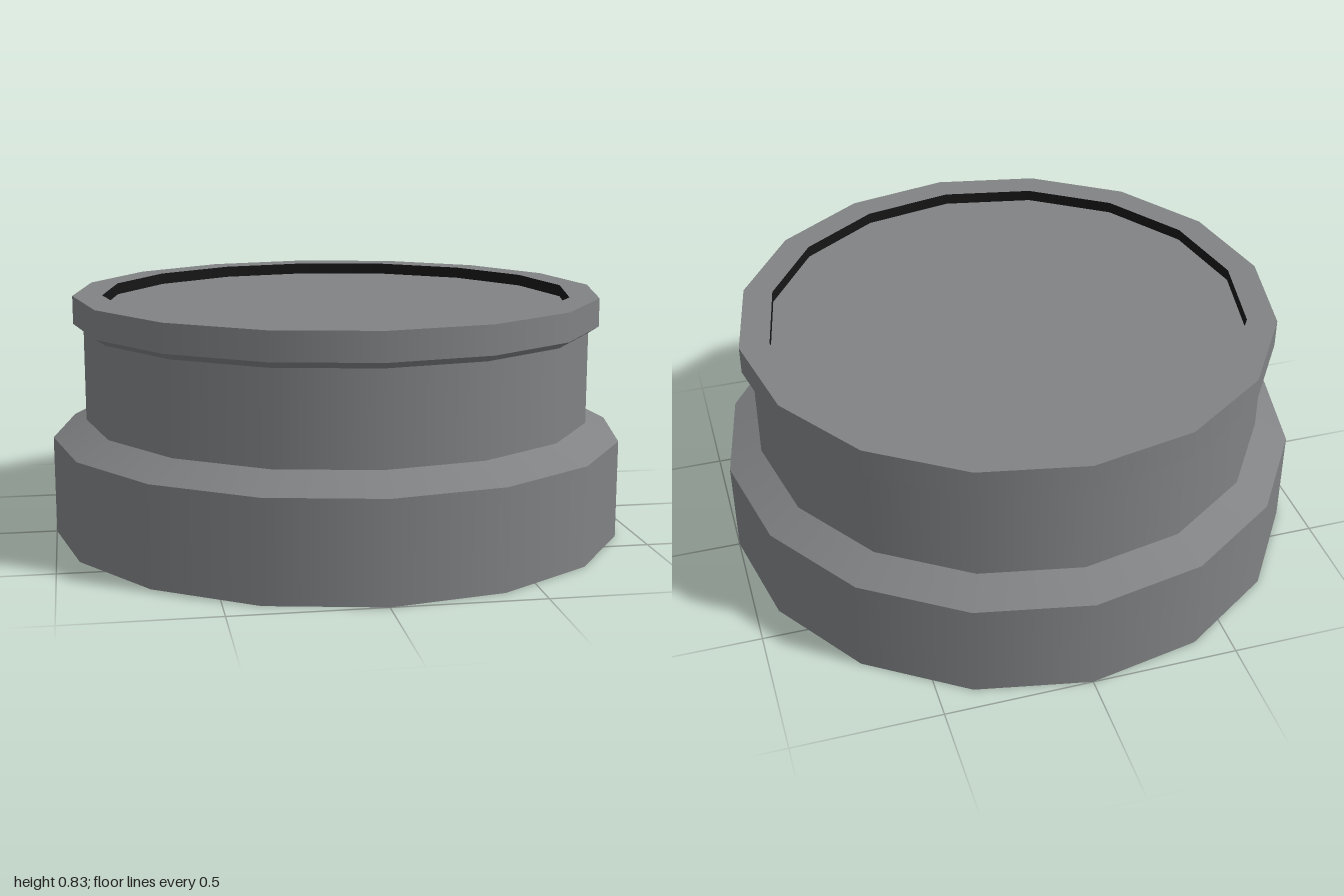
import * as THREE from 'three';

const SIDES = 16;

export function createModel() {
  const model = new THREE.Group();
  const grey = new THREE.MeshStandardMaterial({ color: 0x808284, side: THREE.DoubleSide });
  grey.name = 'grey';
  const black = new THREE.MeshStandardMaterial({ color: 0x161616, side: THREE.DoubleSide });
  black.name = 'black';

  // One smooth band of a thin turned shell; separate bands keep the edges sharp
  function band(name, material, r0, y0, r1, y1) {
    const points = [new THREE.Vector2(r0, y0), new THREE.Vector2(r1, y1)];
    const mesh = new THREE.Mesh(new THREE.LatheGeometry(points, SIDES), material);
    mesh.name = name;
    model.add(mesh);
  }

  // Outer shell, from the open bottom to the rim
  band('baseWall', grey, 1, 0, 1, 0.34);
  band('shoulder', grey, 1, 0.34, 0.885, 0.4);
  band('neck', grey, 0.885, 0.4, 0.885, 0.715);
  band('lipUnderside', grey, 0.885, 0.715, 0.92, 0.738);
  band('lipWall', grey, 0.92, 0.738, 0.92, 0.835);
  band('lipTop', grey, 0.92, 0.835, 0.818, 0.835);

  // Recessed top plate
  band('topPlate', grey, 0.818, 0.795, 0, 0.795);

  // Dark inner core: its wall shows in the recess, its floor from below
  band('coreFloor', black, 0, 0.33, 0.818, 0.33);
  band('coreWall', black, 0.818, 0.33, 0.818, 0.835);

  return model;
}
